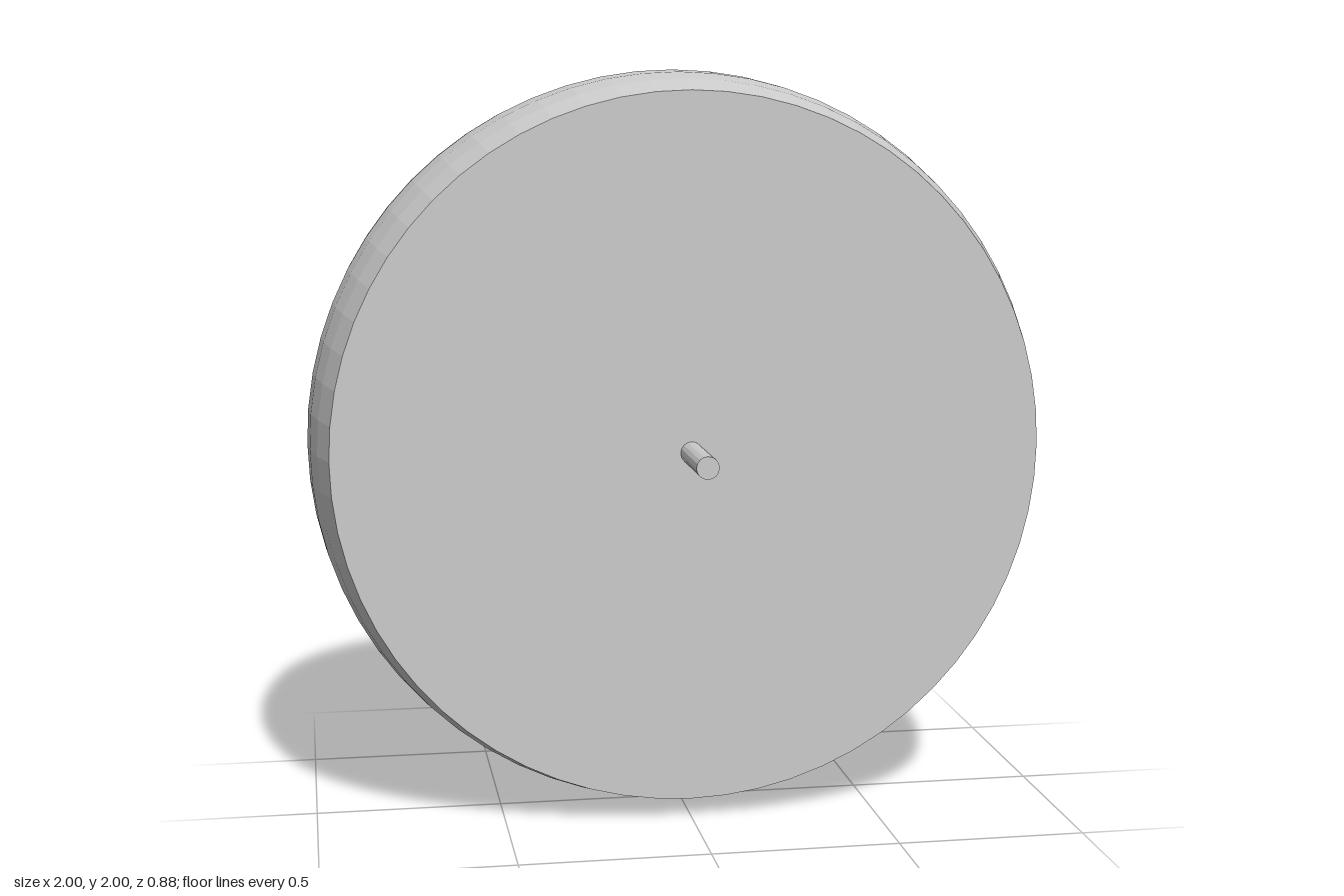
import * as THREE from 'three';

export function createModel() {
  const group = new THREE.Group();
  const material = new THREE.MeshStandardMaterial({ color: 0xcccccc, flatShading: true });

  const radius = 1;
  const halfWidth = 0.32;
  const centreZ = -0.12;
  const bands = 6;

  // Wheel: a slice of a sphere with flat discs on both sides
  const profile = [new THREE.Vector2(0, -halfWidth)];
  const edge = Math.asin(halfWidth / radius);
  for (let i = 0; i <= bands; i++) {
    const a = -edge + (2 * edge * i) / bands;
    profile.push(new THREE.Vector2(radius * Math.cos(a), radius * Math.sin(a)));
  }
  profile.push(new THREE.Vector2(0, halfWidth));
  const wheel = new THREE.Mesh(new THREE.LatheGeometry(profile, 64).rotateX(Math.PI / 2), material);
  wheel.name = 'wheel';
  wheel.position.set(0, radius, centreZ);
  group.add(wheel);

  // Axle: a thin pin standing out of the front disc
  const axleLength = 0.24;
  const axle = new THREE.Mesh(
    new THREE.CylinderGeometry(0.03, 0.03, axleLength, 16).rotateX(Math.PI / 2), material);
  axle.name = 'axle';
  axle.position.set(0, radius, centreZ + halfWidth + axleLength / 2);
  group.add(axle);

  return group;
}
